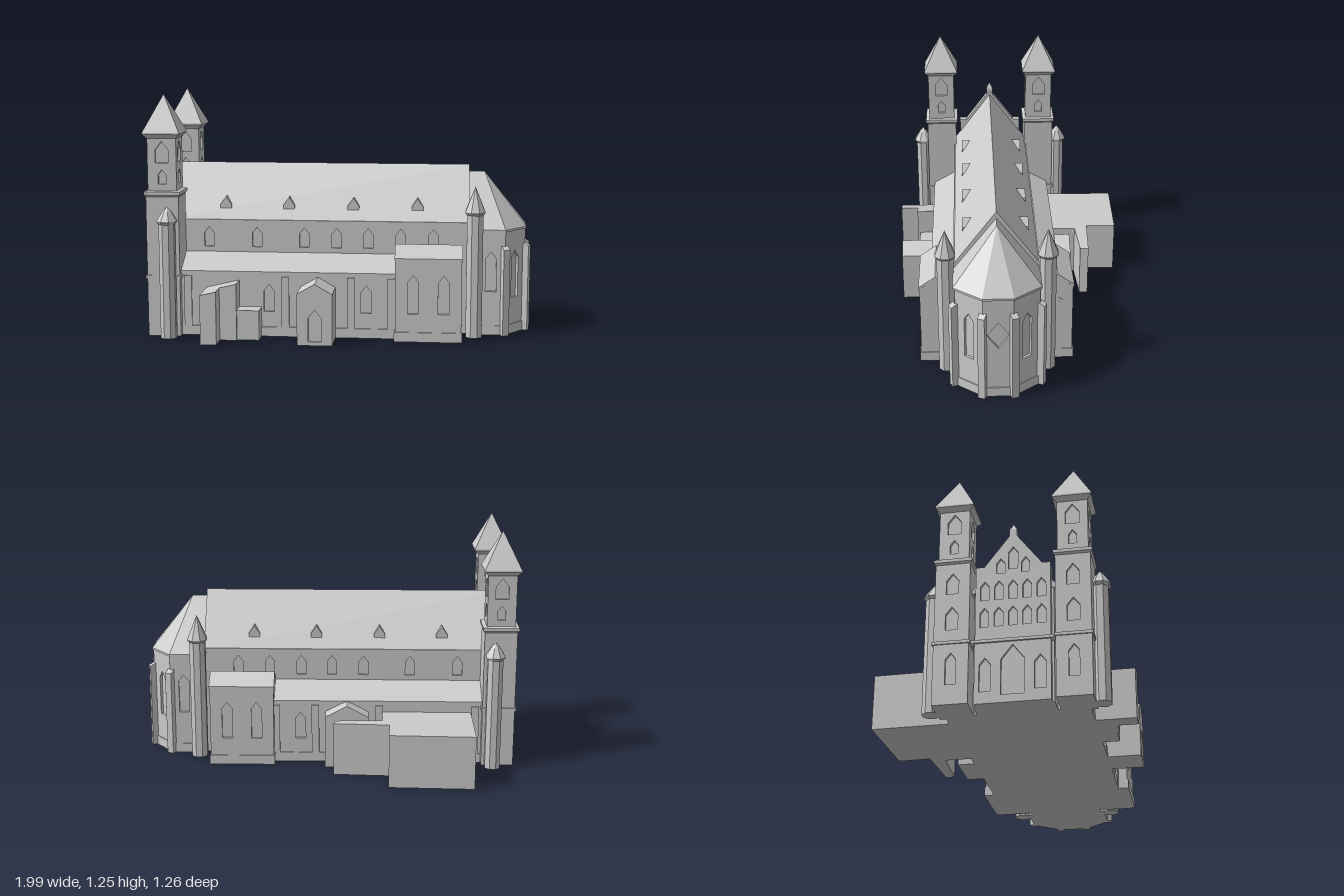
import * as THREE from 'three';

const stone = new THREE.MeshStandardMaterial({ color: 0xcccccc, flatShading: true });
stone.name = 'stone';
const D = 0.014; // depth of window recesses

function add(parent, name, geo) {
  const m = new THREE.Mesh(geo, stone);
  m.name = name;
  parent.add(m);
  return m;
}
function box(parent, name, x0, x1, y0, y1, z0, z1) {
  const m = add(parent, name, new THREE.BoxGeometry(x1 - x0, y1 - y0, z1 - z0));
  m.position.set((x0 + x1) / 2, (y0 + y1) / 2, (z0 + z1) / 2);
  return m;
}
const shapeOf = pts => new THREE.Shape(pts.map(p => new THREE.Vector2(p[0], p[1])));
const solid = (shape, depth) => new THREE.ExtrudeGeometry(shape, { depth, bevelEnabled: false });

// Prisms along each axis: outline given as [x,y], [z,y] or [x,z]
function extZ(parent, name, pts, z0, z1) {
  return add(parent, name, solid(shapeOf(pts), z1 - z0).translate(0, 0, z0));
}
function extX(parent, name, pts, x0, x1) {
  const g = solid(shapeOf(pts.map(([z, y]) => [-z, y])), x1 - x0);
  return add(parent, name, g.rotateY(Math.PI / 2).translate(x0, 0, 0));
}
function extY(parent, name, pts, y0, y1) {
  const g = solid(shapeOf(pts.map(([x, z]) => [x, -z])), y1 - y0);
  return add(parent, name, g.rotateX(-Math.PI / 2).translate(0, y0, 0));
}
const rect = (w, y0, y1) => [[-w / 2, y0], [w / 2, y0], [w / 2, y1], [-w / 2, y1]];

// Pointed window opening
function lancet([x, y, w, h]) {
  const sh = y + h - 0.65 * w;
  return [[x - w / 2, y], [x + w / 2, y], [x + w / 2, sh], [x, y + h], [x - w / 2, sh]];
}
// Wall skin with openings; its outer face lies at (x, z) and faces the given angle
function panel(parent, name, pts, openings, x, z, angle) {
  const s = shapeOf(pts);
  for (const o of openings) s.holes.push(shapeOf(typeof o[0] === 'number' ? lancet(o) : o));
  const m = add(parent, name, solid(s, D).translate(0, 0, -D));
  m.position.set(x, 0, z);
  m.rotation.y = angle;
  return m;
}
// Square or round-ish stack of [radius, y] rings
function stack(parent, name, sides, rings, x, z) {
  const square = sides === 4, k = square ? Math.SQRT2 : 1;
  const pts = rings.map(([r, y]) => new THREE.Vector2(r * k, y));
  const m = add(parent, name, new THREE.LatheGeometry(pts, sides, Math.PI / sides));
  m.position.set(x, 0, z);
  return m;
}

function tower(parent, x, z) {
  const g = new THREE.Group();
  g.name = 'tower';
  g.position.set(x, 0, z);
  parent.add(g);
  const a = 0.085, b = 0.075;
  box(g, 'towerCore', -a + D, a - D, 0, 0.75, -a + D, a - D);
  box(g, 'belfryCore', -b + D, b - D, 0.74, 1.04, -b + D, b - D);
  for (let i = 0; i < 4; i++) {
    const t = i * Math.PI / 2, sx = Math.sin(t), cz = Math.cos(t);
    const low = i === 3 ? [[0, 0.1, 0.05, 0.16], [0, 0.38, 0.06, 0.12], [0, 0.57, 0.06, 0.11]] : [];
    panel(g, 'towerWall', rect(2 * a, 0, 0.74), low, sx * a, cz * a, t);
    panel(g, 'belfryWall', rect(2 * b, 0.74, 1.04), [[0, 0.905, 0.068, 0.11], [0, 0.795, 0.04, 0.075]], sx * b, cz * b, t);
  }
  box(g, 'lowerLedge', -0.092, 0.092, 0.305, 0.32, -0.092, 0.092);
  stack(g, 'upperLedge', 4, [[0.08, 0.725], [0.094, 0.74], [0.094, 0.757], [0.07, 0.762]], 0, 0);
  stack(g, 'spire', 4, [[0, 1.03], [0.075, 1.03], [0.096, 1.052], [0.096, 1.06], [0, 1.253]], 0, 0);
}

export function createModel() {
  const root = new THREE.Group();
  root.name = 'church';
  const g = new THREE.Group();
  g.name = 'building';
  g.position.z = 0.09; // long axis of the church
  root.add(g);

  // Nave
  box(g, 'naveCore', -0.945, 0.665, 0, 0.59, -0.191, 0.191);
  extX(g, 'naveRoof', [[-0.215, 0.585], [0.215, 0.585], [0, 0.872]], -0.95, 0.665);
  box(g, 'cornice', -0.83, 0.665, 0.558, 0.572, -0.211, 0.211);
  box(g, 'eave', -0.83, 0.665, 0.572, 0.592, -0.216, 0.216);

  const clerestory = [-0.7, -0.445, -0.195, -0.025, 0.14, 0.31, 0.48];
  for (const s of [1, -1]) {
    const face = s > 0 ? 0 : Math.PI;
    const ws = (xs, c, y, w, h) => xs.map(x => [s * (x - c), y, w, h]);

    // Clerestory and side aisle
    panel(g, 'clerestoryWall', rect(1.505, 0.38, 0.57), ws(clerestory, -0.0875, 0.447, 0.05, 0.105), -0.0875, s * 0.205, face);
    extX(g, 'aisleCore', [[s * 0.15, 0], [s * 0.321, 0], [s * 0.321, 0.335], [s * 0.15, 0.43]], -0.85, 0.62);
    panel(g, 'aisleWall', rect(1.47, 0, 0.34), ws([-0.365, 0.14], -0.115, 0.13, 0.055, 0.145), -0.115, s * 0.335, face);
    extX(g, 'aisleRoof', [[s * 0.19, 0.39], [s * 0.342, 0.33], [s * 0.342, 0.342], [s * 0.19, 0.428]], -0.85, 0.62);
    box(g, 'aislePlinth', -0.82, 0.62, 0, 0.05, s * 0.336 - 0.006, s * 0.336 + 0.006);
    for (const x of [-0.79, -0.28, 0.06, 0.27])
      box(g, 'pilaster', x - 0.02, x + 0.02, 0.0, 0.315, s * 0.336 - 0.007, s * 0.336 + 0.007);

    // Roof dormers
    for (const x of [-0.615, -0.28, 0.06, 0.395])
      extZ(g, 'dormer', [[x - 0.03, 0.64], [x + 0.03, 0.64], [x + 0.03, 0.665], [x, 0.708], [x - 0.03, 0.665]],
        Math.min(s * 0.1, s * 0.17), Math.max(s * 0.1, s * 0.17));

    // Gabled side chapel
    const x0 = s > 0 ? 0.29 : 0.28, x1 = x0 + 0.338, c = (x0 + x1) / 2;
    extX(g, 'chapelBody', [[s * 0.2, 0], [s * 0.376, 0], [s * 0.39, 0.43], [s * 0.31, 0.488], [s * 0.228, 0.43]]
      .map(([z, y]) => [Math.abs(z) > 0.38 ? s * 0.376 : z, y]), x0, x1);
    extX(g, 'chapelRoof', [[s * 0.225, 0.428], [s * 0.31, 0.482], [s * 0.395, 0.42], [s * 0.395, 0.433], [s * 0.31, 0.493], [s * 0.225, 0.438]], x0 - 0.003, x1 + 0.003);
    panel(g, 'chapelWall', rect(x1 - x0, 0, 0.43), [[-0.078, 0.145, 0.055, 0.2], [0.078, 0.145, 0.055, 0.2]], c, s * 0.39, face);
    box(g, 'chapelPlinth', x0 - 0.005, x1 + 0.005, 0, 0.05, Math.min(s * 0.22, s * 0.396), Math.max(s * 0.22, s * 0.396));

    // Towers and turrets
    tower(g, -0.909, s * 0.289);
    stack(g, 'cornerTurret', 8, [[0, 0], [0.043, 0], [0.043, 0.595], [0.053, 0.608], [0.053, 0.613], [0.024, 0.66], [0, 0.687]], -0.88, s * 0.404);
    stack(g, 'apseTurret', 8, [[0, 0], [0.045, 0], [0.045, 0.64], [0.055, 0.652], [0.055, 0.658], [0, 0.787]], 0.693, s * 0.255);

    // Apse walls and buttresses
    const t = Math.atan2(0.135, 0.11);
    panel(g, 'apseSideWall', rect(0.19, 0, 0.555), [[s * 0.022, 0.23, 0.055, 0.21]], 0.757, s * 0.212, face);
    panel(g, 'apseDiagonalWall', rect(0.176, 0, 0.555), [[0, 0.19, 0.056, 0.25]], 0.905, s * 0.1435, s > 0 ? t : Math.PI - t);
    for (const [x, z, a] of [[0.85, 0.212, 0.42], [0.96, 0.076, 1.2]]) {
      const b = extX(g, 'buttress', [[-0.03, 0], [0.025, 0], [0.025, 0.455], [-0.03, 0.485]], -0.018, 0.018);
      b.position.set(x, 0, s * z);
      b.rotation.y = s > 0 ? a : Math.PI - a;
    }
  }

  // Apse core, east wall and roof
  extY(g, 'apseCore', [[0.6, 0.198], [0.844, 0.198], [0.946, 0.07], [0.946, -0.07], [0.844, -0.198], [0.6, -0.198]], 0, 0.555);
  panel(g, 'apseEastWall', rect(0.152, 0, 0.555), [[[0, 0.275], [0.057, 0.348], [0, 0.42], [-0.057, 0.348]]], 0.96, 0, Math.PI / 2);
  extY(g, 'apsePlinth', [[0.66, 0.217], [0.853, 0.217], [0.966, 0.077], [0.966, -0.077], [0.853, -0.217], [0.66, -0.217]], 0, 0.05);
  const rim = [[0.66, 0.218], [0.852, 0.218], [0.966, 0.078], [0.966, -0.078], [0.852, -0.218], [0.66, -0.218]];
  extY(g, 'apseEave', rim, 0.545, 0.556);
  const v = [], tip = [0.745, 0.836, 0], back = [0.66, 0.836, 0];
  for (let i = 0; i < 5; i++) {
    const [p, q] = [rim[i], rim[i + 1]].map(([x, z]) => [x, 0.556, z]);
    v.push(...p, ...q, ...tip);
    if (i === 0) v.push(...p, ...tip, ...back);
    if (i === 4) v.push(...q, ...back, ...tip);
  }
  const roof = new THREE.BufferGeometry();
  roof.setAttribute('position', new THREE.Float32BufferAttribute(v, 3));
  roof.computeVertexNormals();
  add(g, 'apseRoof', roof);

  // West front between the towers
  const gable = [[-0.18, 0], [0.18, 0], [0.18, 0.71], [0.14, 0.71], [0, 0.895], [-0.14, 0.71], [-0.18, 0.71]];
  extX(g, 'westWall', gable, -0.961, -0.935);
  const wins = [[0, 0.04, 0.11, 0.25], [-0.13, 0.06, 0.055, 0.17], [0.13, 0.06, 0.055, 0.17],
    [0, 0.69, 0.045, 0.12], [-0.06, 0.67, 0.04, 0.08], [0.06, 0.67, 0.04, 0.08]];
  for (let i = -2; i <= 2; i++) wins.push([i * 0.068, 0.39, 0.042, 0.1], [i * 0.068, 0.53, 0.042, 0.1]);
  panel(g, 'westSkin', gable, wins, -0.975, 0, -Math.PI / 2);
  box(g, 'westLedge', -0.985, -0.95, 0.305, 0.32, -0.2, 0.2);
  stack(g, 'gablePinnacle', 4, [[0.018, 0.84], [0.018, 0.908], [0, 0.943]], -0.957, 0);

  // South annexes
  extZ(g, 'annex', [[-0.69, 0], [-0.52, 0], [-0.52, 0.295], [-0.69, 0.255]], 0.3, 0.44);
  extZ(g, 'annexWing', [[-0.69, 0], [-0.607, 0], [-0.607, 0.2745], [-0.69, 0.255]], 0.43, 0.538);
  box(g, 'lowAnnex', -0.525, -0.405, 0, 0.155, 0.3, 0.427);
  const house = (c, w, eave, top) => [[c - w, 0], [c + w, 0], [c + w, eave], [c, top], [c - w, eave]];
  extZ(g, 'southPorch', house(-0.11, 0.09, 0.265, 0.317), 0.3, 0.497);
  panel(g, 'southPorchFront', house(0, 0.09, 0.265, 0.317), [[0, 0.02, 0.065, 0.165]], -0.11, 0.51, 0);

  // North porch and flat-roofed hall
  extZ(g, 'northPorch', house(-0.108, 0.114, 0.28, 0.34), -0.428, -0.3);
  extY(g, 'hall', [[-0.763, -0.724], [-0.325, -0.71], [-0.33, -0.548], [-0.042, -0.533], [-0.047, -0.487],
    [-0.295, -0.475], [-0.295, -0.3], [-0.767, -0.3]], 0, 0.28);

  return root;
}
